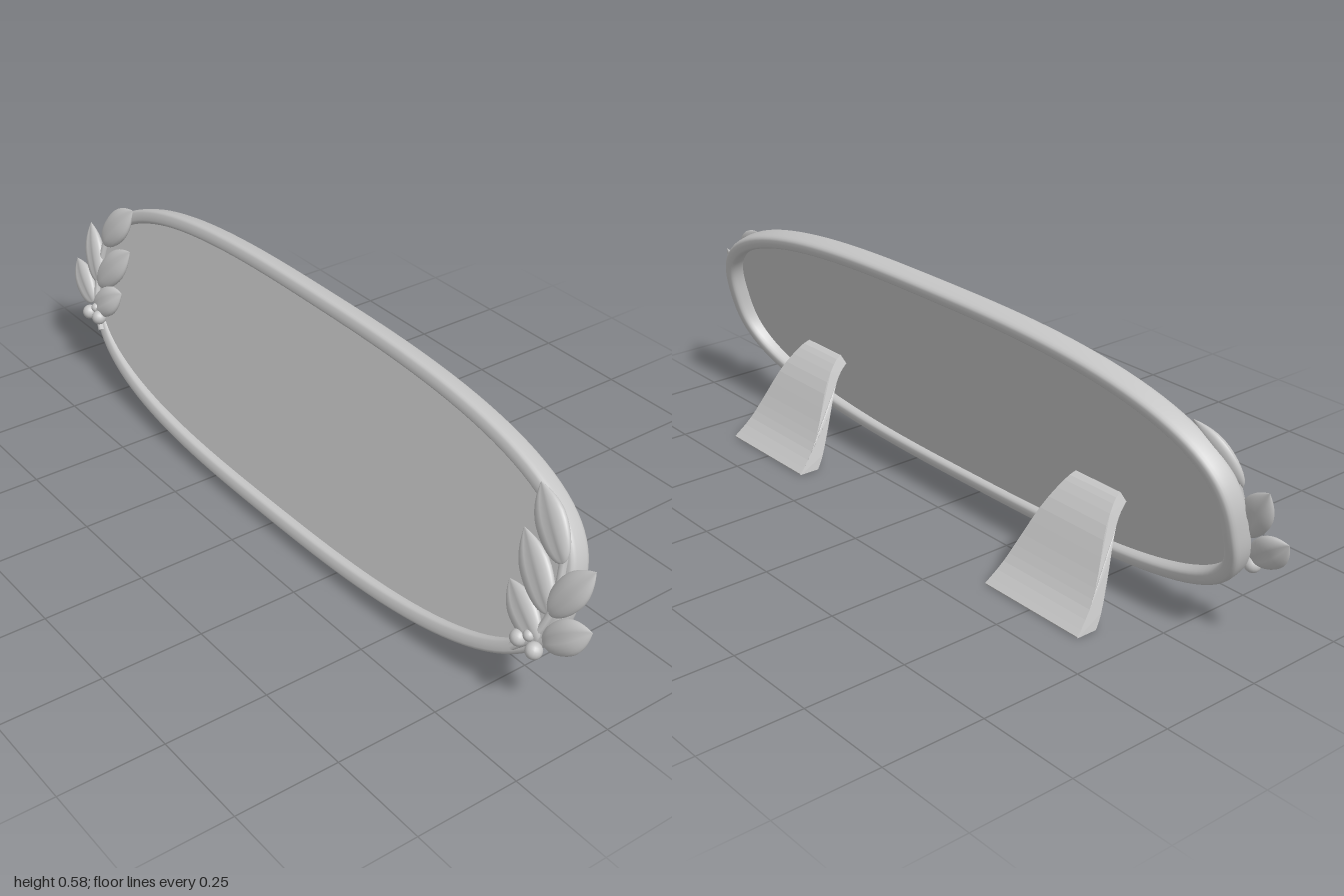
import * as THREE from 'three';

const TILT = 0.265, CY = 0.301, CZ = 0.058;   // lean and centre of the plaque
const RX = 0.892, RY = 0.272, POWER = 2.8;    // centre line of the rim

// Point on the rounded oval, with its outward normal
function oval(angle, grow = 0) {
  const c = Math.cos(angle), s = Math.sin(angle);
  const r = 1 / Math.pow(Math.abs(c) ** POWER + Math.abs(s) ** POWER, 1 / POWER);
  const nx = Math.sign(c) * Math.abs(r * c) ** (POWER - 1) / RX;
  const ny = Math.sign(s) * Math.abs(r * s) ** (POWER - 1) / RY;
  const normal = new THREE.Vector2(nx, ny).normalize();
  const point = new THREE.Vector2(RX * r * c, RY * r * s).addScaledVector(normal, grow);
  return { point, normal };
}

// How far the rim and its ornaments bend back at mid height
const bow = (v) => -0.022 * Math.max(0, 1 - (v / RY) ** 2);

// Soft square section swept round the oval
function rimGeometry() {
  const N = 144, M = 20, pos = [], index = [];
  const soft = (k) => Math.sign(k) * Math.abs(k) ** 0.6;
  for (let i = 0; i < N; i++) {
    const { point, normal } = oval((i / N) * Math.PI * 2);
    for (let j = 0; j < M; j++) {
      const s = (j / M) * Math.PI * 2;
      const out = 0.019 * soft(Math.cos(s));
      pos.push(point.x + normal.x * out, point.y + normal.y * out,
        bow(point.y) + 0.028 * soft(Math.sin(s)));
      const a = i * M + j, b = ((i + 1) % N) * M + j;
      const a2 = i * M + (j + 1) % M, b2 = ((i + 1) % N) * M + (j + 1) % M;
      index.push(a, b, b2, a, b2, a2);
    }
  }
  const g = new THREE.BufferGeometry();
  g.setAttribute('position', new THREE.Float32BufferAttribute(pos, 3));
  g.setIndex(index);
  g.computeVertexNormals();
  return g;
}

// Plump leaf with a pointed tip at +y and a grooved middle
function leafGeometry(length, width) {
  const g = new THREE.SphereGeometry(1, 24, 16);
  const p = g.attributes.position;
  for (let i = 0; i < p.count; i++) {
    const x = p.getX(i), y = p.getY(i), z = p.getZ(i);
    const point = Math.sqrt(1 - Math.max(0, y) ** 2);
    const groove = 0.75 + 0.25 * Math.min(1, Math.abs(x) * 3);
    p.setXYZ(i, x * point * width / 2, y * length / 2, z * point * groove * 0.018);
  }
  g.computeVertexNormals();
  return g;
}

// Curved foot: side profile extruded across, wider towards the floor
function footGeometry() {
  const pts = (list) => new THREE.SplineCurve(list.map(([z, y]) => new THREE.Vector2(-z, y))).getPoints(14);
  const back = pts([[0.035, 0.252], [0.01, 0.238], [-0.035, 0.185], [-0.08, 0.1], [-0.115, 0.045], [-0.157, 0.004]]);
  const front = pts([[-0.102, 0], [-0.083, 0.028], [-0.05, 0.095], [-0.015, 0.165], [0.015, 0.207], [0.045, 0.23]]);
  const shape = new THREE.Shape([...back, new THREE.Vector2(0.155, 0), ...front]);
  const g = new THREE.ExtrudeGeometry(shape, { depth: 2, bevelEnabled: false });
  g.translate(0, 0, -1);
  g.rotateY(Math.PI / 2);
  const p = g.attributes.position;
  for (let i = 0; i < p.count; i++) {
    const y = p.getY(i);
    p.setX(i, p.getX(i) * (0.148 - 0.2 * y - 0.45 * y * y));
  }
  g.computeVertexNormals();
  return g;
}

export function createModel() {
  const model = new THREE.Group();
  model.name = 'ovalPlaque';
  const grey = new THREE.MeshStandardMaterial({ color: 0xc6c6c6 });
  grey.name = 'plain grey';
  const add = (parent, name, geometry) => {
    const mesh = new THREE.Mesh(geometry, grey);
    mesh.name = name;
    parent.add(mesh);
    return mesh;
  };

  // Leaning plaque
  const plaque = new THREE.Group();
  plaque.name = 'plaque';
  plaque.position.set(0, CY, CZ);
  plaque.rotation.x = -TILT;
  model.add(plaque);
  add(plaque, 'rim', rimGeometry());

  const outline = [];
  for (let i = 0; i < 144; i++) outline.push(oval((i / 144) * Math.PI * 2, -0.008).point);
  add(plaque, 'panel', new THREE.ExtrudeGeometry(new THREE.Shape(outline),
    { depth: 0.016, bevelEnabled: false })).position.z = -0.011;

  // Leaf sprays: base x, base y, tip x, tip y, width (heights above the floor)
  const leaves = [
    [0.885, 0.375, 0.775, 0.498, 0.085],
    [0.88, 0.265, 0.965, 0.4, 0.075],
    [0.882, 0.262, 0.762, 0.392, 0.085],
    [0.89, 0.205, 1.0, 0.288, 0.075],
    [0.875, 0.195, 0.763, 0.278, 0.08],
  ];
  const toV = (y) => (y - CY) / Math.cos(TILT) - 0.004;
  for (const side of [1, -1]) {
    const spray = new THREE.Group();
    spray.name = side > 0 ? 'leftSpray' : 'rightSpray';
    plaque.add(spray);
    for (const [bx, by, tx, ty, width] of leaves) {
      const v0 = toV(by), v1 = toV(ty), dx = side * (tx - bx), dv = v1 - v0;
      const leaf = add(spray, 'leaf', leafGeometry(Math.hypot(dx, dv), width));
      const v = (v0 + v1) / 2;
      leaf.position.set(side * (bx + tx) / 2, v, 0.033 + bow(v));
      leaf.rotation.z = Math.atan2(-dx, dv);
    }
    // Stem and berries
    const stem = [[0.82, 0.155], [0.862, 0.2], [0.888, 0.28], [0.88, 0.39]].map(([x, y]) =>
      new THREE.Vector3(side * x, toV(y), 0.03 + bow(toV(y))));
    add(spray, 'stem', new THREE.TubeGeometry(new THREE.CatmullRomCurve3(stem), 24, 0.009, 8));
    for (const [x, y, r] of [[0.882, 0.182, 0.019], [0.835, 0.185, 0.019], [0.858, 0.203, 0.013]]) {
      const berry = add(spray, 'berry', new THREE.SphereGeometry(r, 16, 12));
      berry.position.set(side * x, toV(y), 0.038 + bow(toV(y)));
    }
    // Rear foot
    const foot = add(model, side > 0 ? 'leftFoot' : 'rightFoot', footGeometry());
    foot.position.x = side * 0.503;
  }
  return model;
}
